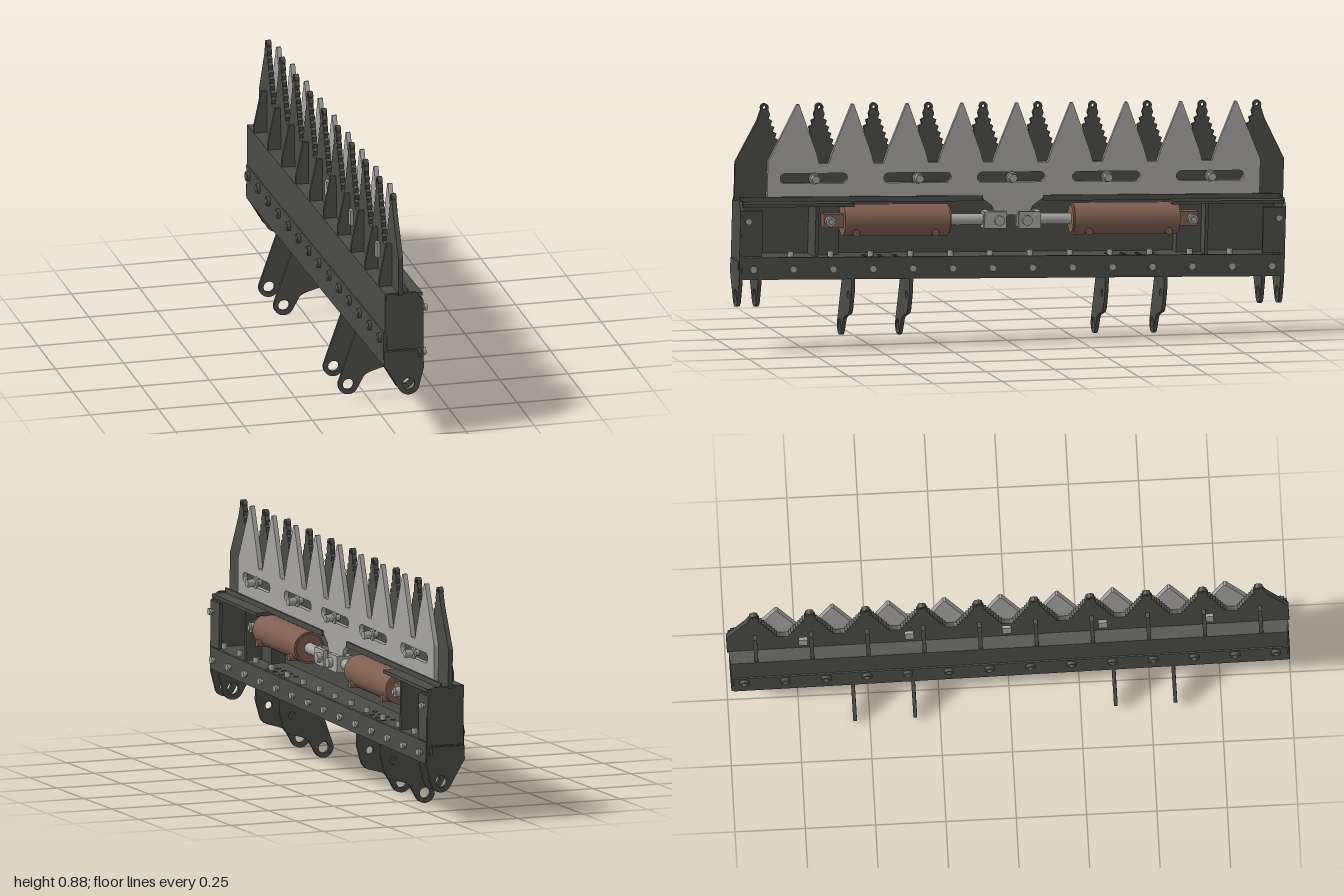
import * as THREE from 'three';

const material = (name, color) => Object.assign(new THREE.MeshStandardMaterial({ color }), { name });

export function createModel() {
  const dark = material('dark steel', 0x4b4c46);
  const grey = material('blade grey', 0xa6a4a2);
  const brown = material('cylinder brown', 0x7f5e50);
  const bolt = material('bolt metal', 0xa0a09b);

  const model = new THREE.Group();
  // The whole assembly leans slightly along its length
  const body = new THREE.Group();
  body.name = 'cutterAssembly';
  body.rotation.x = -0.025;
  body.position.z = 0.0105;
  model.add(body);

  const add = (name, geo, mat, x = 0, y = 0, z = 0) => {
    const m = new THREE.Mesh(geo, mat);
    m.name = name;
    m.position.set(x, y, z);
    body.add(m);
    return m;
  };
  const box = (name, mat, x0, x1, y0, y1, z0, z1) =>
    add(name, new THREE.BoxGeometry(x1 - x0, y1 - y0, z1 - z0), mat, (x0 + x1) / 2, (y0 + y1) / 2, (z0 + z1) / 2);
  const poly = pts => new THREE.Shape(pts.map(p => new THREE.Vector2(p[0], p[1])));
  const circleHole = (x, y, r) => new THREE.Path().absarc(x, y, r, 0, Math.PI * 2, true);
  const extrude = (shape, depth) => new THREE.ExtrudeGeometry(shape, { depth, bevelEnabled: false, curveSegments: 10 });
  // Plate drawn in (z, y), thick along x
  const plateX = (name, mat, shape, x0, x1) => add(name, extrude(shape, x1 - x0).rotateY(-Math.PI / 2), mat, x1);
  // Plate drawn in (x, y), thick along z, centred on z
  const plateZ = (name, mat, shape, z, t) => add(name, extrude(shape, t), mat, 0, 0, z - t / 2);
  const rodX = (name, mat, r, x0, x1, y, z, sides = 12) =>
    add(name, new THREE.CylinderGeometry(r, r, x1 - x0, sides).rotateZ(Math.PI / 2), mat, (x0 + x1) / 2, y, z);
  const rodZ = (name, mat, r, z0, z1, x, y, sides = 28) =>
    add(name, new THREE.CylinderGeometry(r, r, Math.abs(z1 - z0), sides).rotateX(Math.PI / 2), mat, x, y, (z0 + z1) / 2);

  // Channel beam: back wall, top flange, perforated floor, front lip, inner rail
  box('backWall', dark, -0.045, -0.035, 0.25, 0.522, -0.99, 0.99);
  box('backLowerBand', dark, -0.05, -0.045, 0.25, 0.375, -0.985, 0.985);
  box('topFlange', dark, -0.045, 0.02, 0.512, 0.522, -0.99, 0.99);
  const floor = poly([[-0.036, -0.985], [0.09, -0.985], [0.09, 0.985], [-0.036, 0.985]]);
  for (const s of [-1, 1]) for (let i = 0; i < 4; i++) for (let j = 0; j < 2; j++) {
    floor.holes.push(circleHole(0.03 + j * 0.035, s * (0.36 + i * 0.055), 0.01));
  }
  add('floor', extrude(floor, 0.012).rotateX(Math.PI / 2), dark, 0, 0.32);
  box('frontLip', dark, 0.085, 0.097, 0.243, 0.322, -0.985, 0.985);
  box('innerRail', dark, 0.055, 0.085, 0.25, 0.285, -0.98, 0.98);
  for (const s of [-1, 1]) {
    const a = s > 0 ? 0.58 : -0.985, b = s > 0 ? 0.985 : -0.58;
    box('endTopFlange', dark, 0.02, 0.094, 0.502, 0.514, a, b);
    const c = s > 0 ? 0.1 : -0.985, d = s > 0 ? 0.985 : -0.12;
    box('bladeGuide', dark, 0.037, 0.043, 0.512, 0.532, c, d);
  }

  // End plates with a folded tab, and the short mounting lugs beneath
  const endShape = poly([[-0.04, 0.31], [0.085, 0.31], [0.085, 0.275], [0.095, 0.275], [0.095, 0.49], [0.068, 0.52], [-0.03, 0.52], [-0.04, 0.51]]);
  const shortLug = new THREE.Shape();
  shortLug.moveTo(-0.048, 0.305);
  shortLug.lineTo(-0.05, 0.255);
  shortLug.lineTo(0.006, 0.16);
  shortLug.absarc(0.04, 0.18, 0.04, Math.PI * 1.17, Math.PI * 1.85, false);
  shortLug.lineTo(0.095, 0.235);
  shortLug.lineTo(0.095, 0.275);
  shortLug.lineTo(0.075, 0.275);
  shortLug.lineTo(0.075, 0.305);
  shortLug.holes.push(circleHole(0.04, 0.18, 0.022));
  for (const s of [-1, 1]) {
    plateZ('endPlate', dark, endShape, s * 0.987, 0.014);
    box('endTab', dark, 0.084, 0.096, 0.325, 0.49, s * 0.95 - 0.038, s * 0.95 + 0.038);
    plateZ('endLug', dark, shortLug, s * 0.987, 0.013);
    plateZ('endLug', dark, shortLug, s * 0.918, 0.013);
    rodX('endBoltShank', bolt, 0.007, 0.09, 0.106, 0.453, s * 0.967);
    rodX('endBoltHead', bolt, 0.013, 0.104, 0.114, 0.453, s * 0.967, 6);
  }

  // Long mounting lugs
  const longLug = new THREE.Shape();
  longLug.moveTo(-0.045, 0.31);
  longLug.lineTo(-0.05, 0.245);
  longLug.lineTo(-0.112, 0.072);
  longLug.absarc(-0.078, 0.057, 0.037, Math.PI * 0.87, Math.PI * 1.85, false);
  longLug.lineTo(-0.022, 0.082);
  longLug.quadraticCurveTo(-0.015, 0.092, 0.01, 0.1);
  longLug.lineTo(0.045, 0.11);
  longLug.quadraticCurveTo(0.07, 0.115, 0.078, 0.14);
  longLug.lineTo(0.095, 0.2);
  longLug.lineTo(0.095, 0.26);
  longLug.lineTo(0.08, 0.31);
  longLug.holes.push(circleHole(-0.078, 0.057, 0.02), circleHole(0.045, 0.18, 0.014));
  for (const z of [0.577, 0.365, -0.348, -0.562]) plateZ('longLug', dark, longLug, z, 0.013);

  // Rows of bolts along the lip, floor and back
  for (let i = 0; i < 14; i++) {
    const z = -0.945 + i * 0.1454;
    rodX('lipBoltShank', bolt, 0.008, 0.095, 0.108, 0.281, z);
    rodX('lipBoltHead', bolt, 0.014, 0.104, 0.114, 0.281, z, 6);
    add('floorBolt', new THREE.CylinderGeometry(0.011, 0.011, 0.02, 6), bolt, 0.062, 0.33, z);
    rodX('backBolt', dark, 0.018, -0.062, -0.05, 0.345, z);
    rodX('backBoltTip', bolt, 0.009, -0.065, -0.06, 0.345, z);
  }

  // Fixed rear blade: ten serrated teeth with rounded tips
  const pitch = 0.1995, tipZ = i => 0.898 - i * pitch;
  const pts = [[1, 0.515], [1, 0.655], [0.925, 0.8]];
  const steps = 8;
  for (let i = 0; i < 10; i++) {
    const z = tipZ(i);
    const side = s => {
      const edge = [];
      for (let k = 0; k < steps; k++) {
        const w = 0.02 + k * 0.0085, y = 0.825 - k * 0.023;
        edge.push([z + s * w, y], [z + s * (w - 0.005), y - 0.016]);
      }
      edge.push([z + s * 0.09, 0.645]);
      return edge;
    };
    if (i > 0) pts.push(...side(1).reverse());
    for (let k = 0; k <= 8; k++) {
      const a = -0.5 + k / 8 * (Math.PI + 1);
      pts.push([z + Math.cos(a) * 0.015, 0.849 + Math.sin(a) * 0.015]);
    }
    if (i < 9) pts.push(...side(-1));
  }
  pts.push([-0.925, 0.8], [-1, 0.655], [-1, 0.515]);
  const rear = poly(pts);
  for (let i = 0; i < 10; i++) rear.holes.push(circleHole(tipZ(i), 0.849, 0.006));
  plateX('fixedBlade', dark, rear, 0.003, 0.02);

  // Gusset fins behind the fixed blade
  const fin = poly([[0.003, 0.515], [-0.043, 0.515], [-0.043, 0.55], [-0.016, 0.675], [0.003, 0.675]]);
  for (let i = 0; i < 10; i++) plateZ('gussetFin', dark, fin, tipZ(i), 0.014);

  // Sliding front blade: nine plain teeth, slotted, with a drive tab at the centre
  const front = [[0.885, 0.52], [0.885, 0.655]];
  for (let i = 0; i < 9; i++) {
    const z = 0.78 - i * pitch;
    if (i > 0) front.push([z + 0.082, 0.65], [z + 0.07, 0.69]);
    front.push([z + 0.004, 0.862], [z - 0.004, 0.862]);
    if (i < 8) front.push([z - 0.07, 0.69], [z - 0.082, 0.65]);
  }
  front.push([-0.91, 0.655], [-0.91, 0.52], [-0.12, 0.52], [-0.085, 0.495], [-0.07, 0.46], [0.05, 0.46], [0.065, 0.495], [0.1, 0.52]);
  const slider = poly(front);
  const slotZ = [0.716, 0.338, -0.003, -0.35, -0.728];
  for (const z of slotZ) {
    const slot = new THREE.Path();
    slot.absarc(z + 0.105, 0.597, 0.018, -Math.PI / 2, Math.PI / 2, false);
    slot.absarc(z - 0.105, 0.597, 0.018, Math.PI / 2, Math.PI * 1.5, false);
    slot.closePath();
    slider.holes.push(slot);
  }
  plateX('slidingBlade', grey, slider, 0.0205, 0.037);

  // Guide bolts through the slots, with nut plates behind
  for (const z of slotZ) {
    rodX('guideBolt', bolt, 0.011, 0.015, 0.05, 0.597, z);
    rodX('guideWasher', bolt, 0.021, 0.037, 0.044, 0.597, z, 16);
    rodX('guideBoltHead', bolt, 0.016, 0.048, 0.075, 0.597, z, 6);
    box('nutPlate', bolt, -0.008, 0.003, 0.57, 0.625, z - 0.016, z + 0.016);
  }

  // Pair of opposed drive cylinders
  const cx = 0.038, cy = 0.447;
  for (const s of [-1, 1]) {
    const off = s > 0 ? 0 : -0.018;
    rodZ('cylinderBarrel', brown, 0.057, s * 0.228, s * 0.61, cx, cy);
    rodZ('cylinderGland', brown, 0.05, s * 0.222, s * 0.228, cx, cy);
    rodZ('pistonRod', grey, 0.02, s * 0.08 + off, s * 0.23, cx, cy, 20);
    for (const z of [0.28, 0.57]) rodX('cylinderPort', brown, 0.013, cx + 0.02, cx + 0.057, cy - 0.04, s * z);
    // Rear eye and its bracket
    box('rearEye', brown, cx - 0.02, cx + 0.025, cy - 0.025, cy + 0.025, s * 0.645 - 0.037, s * 0.645 + 0.037);
    rodX('rearPin', bolt, 0.018, cx - 0.06, cx + 0.045, cy, s * 0.66, 16);
    rodX('rearPinCap', grey, 0.01, cx + 0.045, cx + 0.052, cy, s * 0.66);
    box('eyeBracket', dark, -0.036, cx - 0.02, 0.32, 0.5, s * 0.66 - 0.045, s * 0.66 + 0.045);
    box('bracketRib', dark, -0.036, 0.08, 0.32, 0.505, s * 0.71 - 0.006, s * 0.71 + 0.006);
    // Rod clevis and pin
    const cz = s * 0.058 + off / 2;
    for (const x of [cx - 0.018, cx + 0.026]) box('clevisCheek', grey, x - 0.008, x + 0.008, cy - 0.03, cy + 0.03, cz - 0.04, cz + 0.04);
    box('clevisYoke', grey, cx - 0.018, cx + 0.026, cy - 0.03, cy + 0.03, cz + s * 0.032 - 0.01, cz + s * 0.032 + 0.01);
    rodX('clevisPin', bolt, 0.018, cx - 0.03, cx + 0.05, cy, cz - s * 0.012, 16);
  }
  return model;
}
